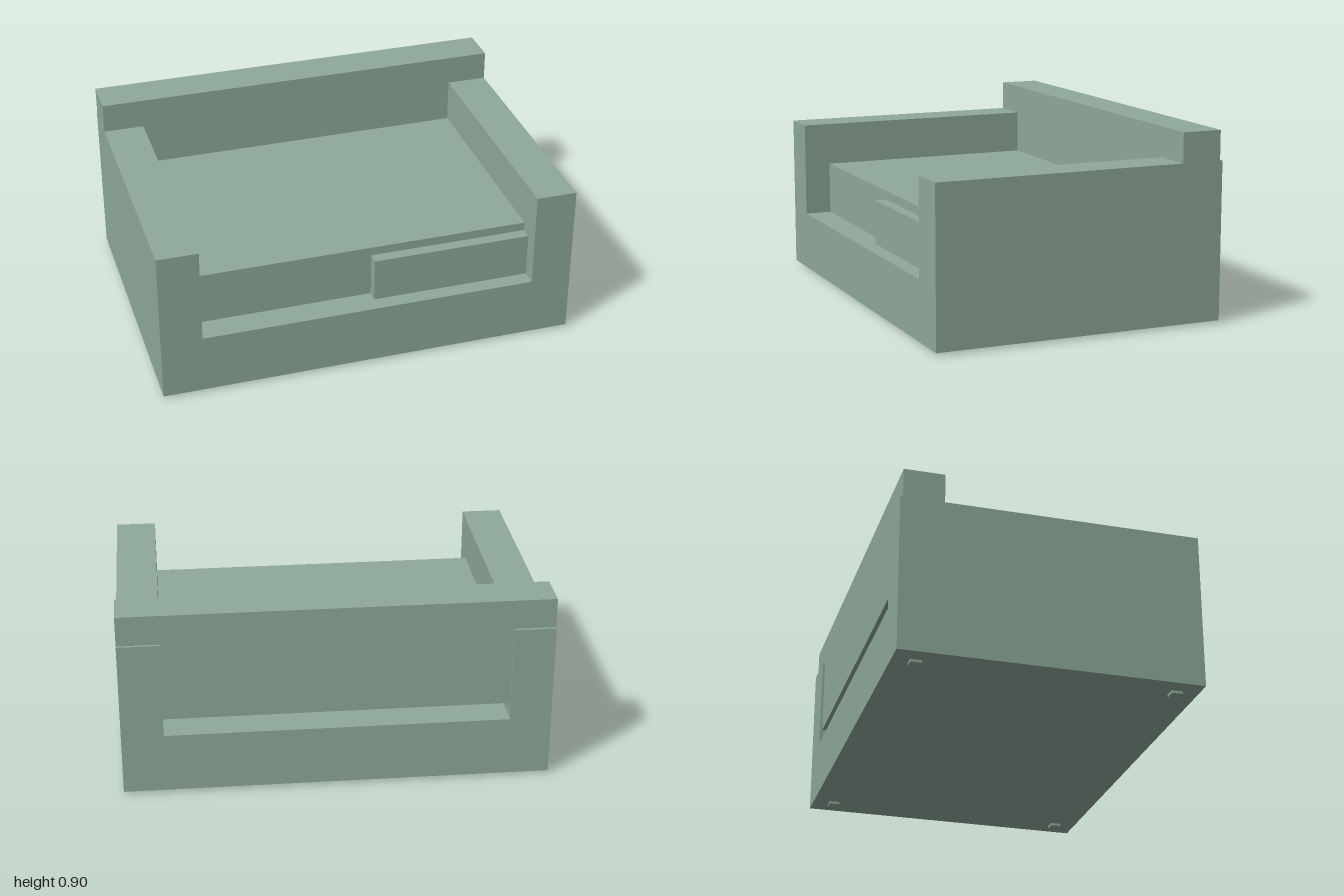
import * as THREE from 'three';

export function createModel() {
  const sofa = new THREE.Group();
  sofa.name = 'armchair';
  const fabric = new THREE.MeshStandardMaterial({ color: 0x8fa99a });
  fabric.name = 'sage green';

  const add = (name, geometry) => {
    const mesh = new THREE.Mesh(geometry, fabric);
    mesh.name = name;
    sofa.add(mesh);
  };
  // box from its low and high corners
  const box = (name, x0, x1, y0, y1, z0, z1) => add(name,
    new THREE.BoxGeometry(x1 - x0, y1 - y0, z1 - z0)
      .translate((x0 + x1) / 2, (y0 + y1) / 2, (z0 + z1) / 2));
  // outline in x and y, extruded from z0 to z1
  const slab = (name, points, z0, z1) => {
    const shape = new THREE.Shape(points.map(([x, y]) => new THREE.Vector2(x, y)));
    add(name, new THREE.ExtrudeGeometry(shape, { depth: z1 - z0, bevelEnabled: false })
      .translate(0, 0, z0));
  };

  const inner = 0.805, armTop = 0.763, baseTop = 0.3, baseBottom = 0.013;

  // base and both arms in one U-shaped frame
  slab('frame', [
    [-1, baseBottom], [1, baseBottom], [1, armTop], [inner, armTop],
    [inner, baseTop], [-inner, baseTop], [-inner, armTop], [-1, armTop],
  ], -0.705, 0.705);

  // T-shaped backrest, resting on the arms with a gap above the base
  slab('backrest', [
    [-inner, 0.38], [inner, 0.38], [inner, armTop], [1, armTop],
    [1, 0.905], [-1, 0.905], [-1, armTop], [-inner, armTop],
  ], -0.692, -0.5);

  box('seatCushion', -inner, inner, baseTop, 0.555, -0.498, 0.575);
  box('frontPad', 0.04, inner, baseTop, 0.513, 0.575, 0.63);

  // feet
  for (const x of [-0.893, 0.893])
    for (const z of [-0.6, 0.6])
      box('foot', x - 0.026, x + 0.026, 0, baseBottom, z - 0.026, z + 0.026);

  return sofa;
}
